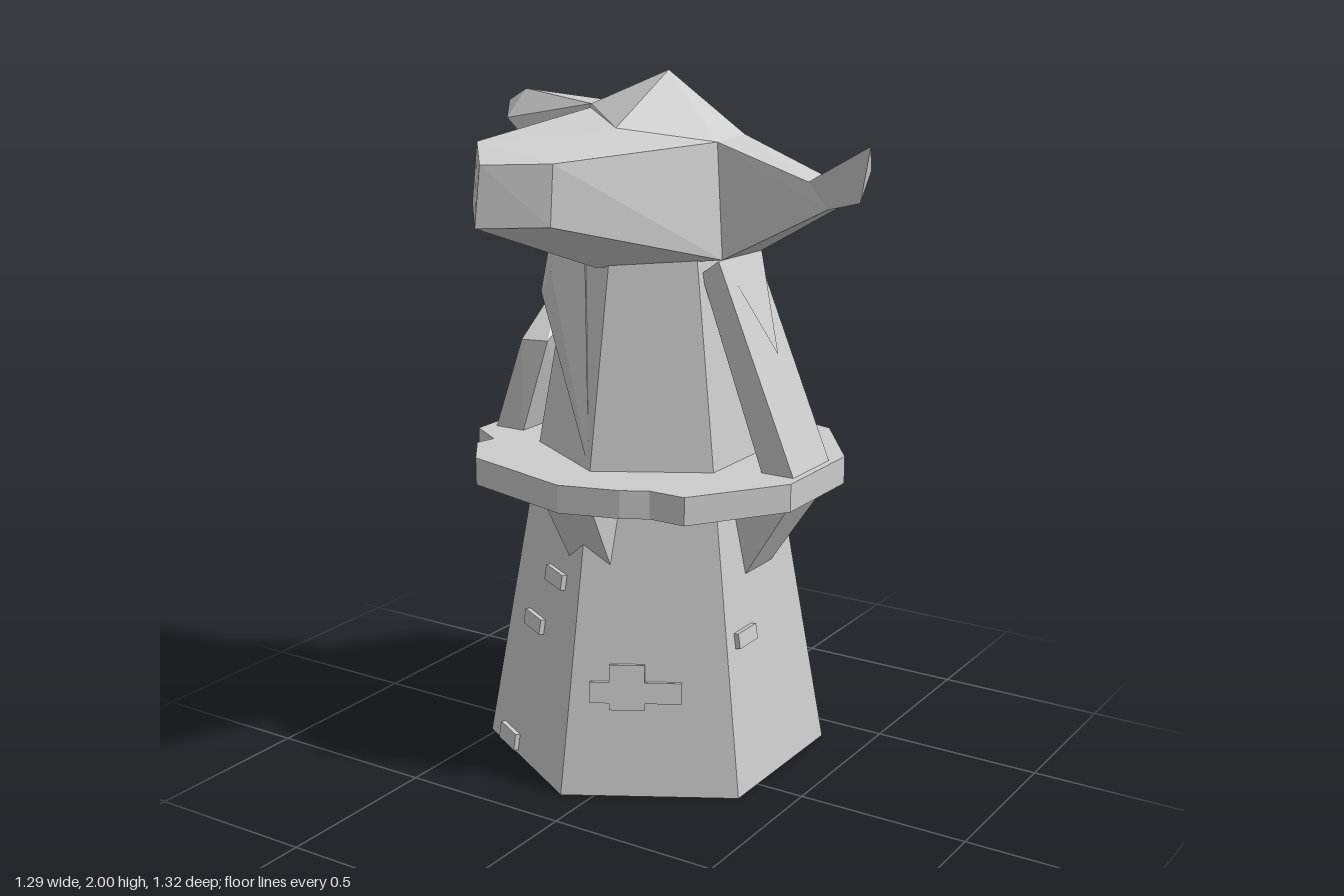
import * as THREE from 'three';
import { ConvexGeometry } from 'three/addons/geometries/ConvexGeometry.js';

const CX = -0.08, CZ = -0.14; // tower axis
const radius = y => 0.505 - 0.175 * y;

export function createModel() {
  const group = new THREE.Group();
  const material = new THREE.MeshStandardMaterial({ color: 0xcccccc, flatShading: true, side: THREE.DoubleSide });
  const add = (name, geometry) => {
    const mesh = new THREE.Mesh(geometry, material);
    mesh.name = name;
    group.add(mesh);
    return mesh;
  };
  const hull = (name, points) =>
    add(name, new ConvexGeometry(points.map(p => new THREE.Vector3(...p))));

  // Tapered six-sided tower, open at the bottom
  const height = 1.62;
  add('tower', new THREE.CylinderGeometry(radius(height), radius(0), height, 6, 1, true))
    .position.set(CX, height / 2, CZ);

  // Balcony with chipped edge
  const outline = [[-0.08, -0.66], [0.27, -0.56], [0.45, -0.31], [0.45, 0.01], [0.27, 0.27], [0.16, 0.27],
    [0.09, 0.31], [-0.08, 0.36], [-0.43, 0.27], [-0.525, 0.14], [-0.51, 0.08], [-0.62, 0.01],
    [-0.62, -0.31], [-0.43, -0.56]];
  const plate = new THREE.Shape(outline.map(p => new THREE.Vector2(...p)));
  const hole = [];
  for (let i = 0; i < 6; i++) {
    const a = i * Math.PI / 3;
    hole.push(new THREE.Vector2(CX + 0.34 * Math.sin(a), CZ + 0.34 * Math.cos(a)));
  }
  plate.holes.push(new THREE.Path(hole));
  add('balcony', new THREE.ExtrudeGeometry(plate, { depth: 0.08, bevelEnabled: false })
    .rotateX(Math.PI / 2).translate(0, 0.92, 0));

  // Brackets below the balcony: wide ones at the sides, notched ones front and back
  for (const s of [-1, 1]) {
    hull('sideBracket', [-1, 1].flatMap(t => [
      [CX + s * 0.5, 0.84, -0.145 + t * 0.1], [CX + s * 0.3, 0.84, -0.145 + t * 0.1],
      [CX + s * 0.345, 0.6, -0.145 + t * 0.075]]));
    for (const t of [-1, 1]) {
      hull('endBracket', [
        [CX, 0.84, CZ + s * 0.46], [CX + t * 0.08, 0.84, CZ + s * 0.45], [CX, 0.84, CZ + s * 0.3],
        [CX + t * 0.08, 0.84, CZ + s * 0.28], [CX + t * 0.07, 0.66, CZ + s * 0.35], [CX, 0.7, CZ + s * 0.37]]);
    }
  }

  // Struts above the balcony: one whole, one broken into stub and splinter
  hull('strut', [-0.25, -0.04].flatMap(z => [
    [0.185, 1.5, z], [0.13, 1.46, z], [0.33, 0.92, z], [0.43, 0.92, z]]));
  hull('strutSplinter', [[0.18, 1.51, -0.06], [0.2, 1.51, -0.25], [0.14, 1.5, -0.15], [0.31, 1.23, -0.16]]);
  hull('brokenStrut', [
    [-0.59, 0.92, -0.25], [-0.59, 0.92, -0.04], [-0.49, 0.92, -0.25], [-0.49, 0.92, -0.04],
    [-0.47, 1.36, -0.22], [-0.49, 1.2, -0.04], [-0.4, 1.31, -0.24], [-0.41, 1.2, -0.06]]);
  hull('brokenSplinter', [
    [-0.37, 1.68, -0.08], [-0.37, 1.68, -0.24], [-0.365, 1.37, 0.03], [-0.3, 1.44, 0.07],
    [-0.22, 1.68, 0.02], [-0.09, 0.92, 0.195]]);

  // Crown of the roof
  hull('roofCrown', [
    [-0.04, 2, -0.14], [-0.07, 1.84, -0.37], [-0.08, 1.69, -0.39], [-0.08, 1.6, -0.36],
    [-0.29, 1.9, -0.2], [-0.26, 1.9, -0.08], [0.17, 1.83, -0.2], [0.16, 1.82, -0.07],
    [-0.06, 1.86, 0.095], [-0.38, 1.69, -0.08], [-0.36, 1.66, -0.25],
    [0.185, 1.5, -0.06], [0.19, 1.5, -0.25], [-0.12, 1.475, 0.11]]);

  // Long front spout of the roof
  hull('roofBeak', [
    [-0.19, 1.86, 0.535], [-0.09, 1.82, 0.655], [0.05, 1.82, 0.54],
    [-0.225, 1.7, 0.515], [-0.11, 1.66, 0.655], [0.04, 1.66, 0.54],
    [-0.12, 1.475, 0.11], [0.185, 1.5, -0.06], [0.16, 1.82, -0.07],
    [-0.38, 1.69, -0.08], [-0.26, 1.89, -0.08], [-0.06, 1.86, 0.095], [-0.18, 1.86, 0.3]]);

  // Left horn: tapering arm and upturned tip
  const bend = [[0.43, 1.73, -0.2], [0.43, 1.73, -0.09], [0.49, 1.66, -0.17], [0.49, 1.66, -0.09]];
  hull('leftHorn', [[0.16, 1.82, -0.07], [0.185, 1.5, -0.06], [0.2, 1.5, -0.25], [0.17, 1.83, -0.2], ...bend]);
  hull('leftHornTip', [...bend, [0.6, 1.77, -0.12], [0.6, 1.69, -0.06], [0.645, 1.845, -0.02]]);

  // Right horn
  hull('rightHorn', [
    [-0.29, 1.9, -0.2], [-0.26, 1.9, -0.08], [-0.38, 1.69, -0.08], [-0.38, 1.69, -0.25],
    [-0.645, 1.88, -0.21], [-0.56, 1.92, -0.18], [-0.58, 1.84, -0.11]]);

  // Raised bricks: [face angle, sideways offset, height, width, brick height]
  const bricks = [
    [-30, 0.06, 0.58, 0.11, 0.045], [-30, -0.04, 0.415, 0.11, 0.045], [-30, -0.11, 0.035, 0.11, 0.05],
    [-30, -0.095, 0.8, 0.11, 0.07], [30, -0.065, 0.315, 0.1, 0.13], [30, -0.04, 0.3, 0.26, 0.06],
    [90, -0.12, 0.435, 0.1, 0.045], [150, -0.03, 0.19, 0.1, 0.05], [150, 0.05, 0.13, 0.1, 0.05],
    [-150, -0.15, 0.44, 0.15, 0.06], [-150, 0.01, 0.33, 0.1, 0.045], [-150, 0.17, 0.03, 0.13, 0.06]];
  for (const [deg, u, y, w, h] of bricks) {
    const a = THREE.MathUtils.degToRad(deg), r = radius(y) * Math.cos(Math.PI / 6);
    const brick = add('brick', new THREE.BoxGeometry(w, h, 0.03));
    brick.position.set(CX + r * Math.sin(a) + u * Math.cos(a), y, CZ + r * Math.cos(a) - u * Math.sin(a));
    brick.rotation.set(-0.15, a, 0, 'YXZ');
  }
  return group;
}
